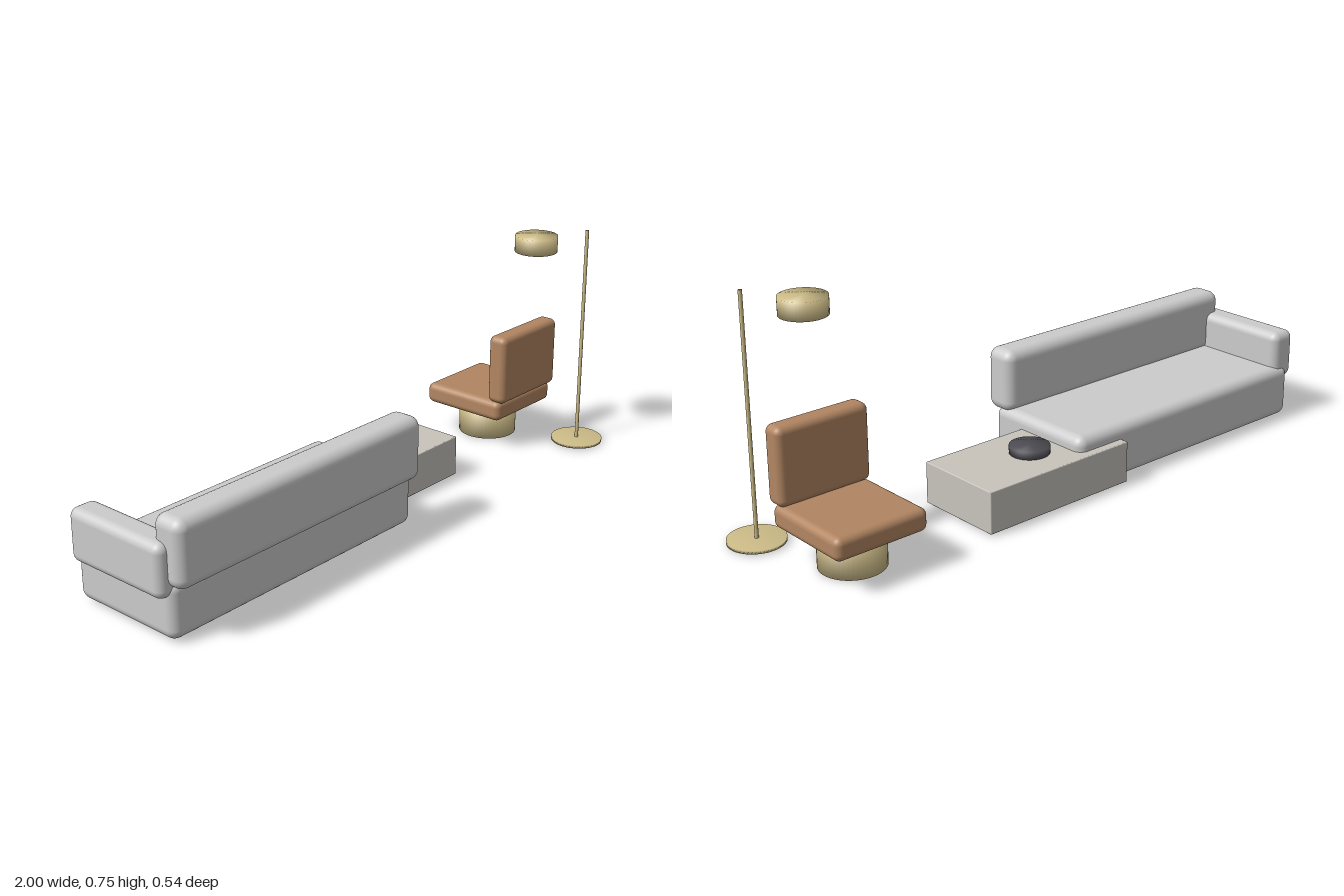
import * as THREE from 'three';
import { mergeVertices } from 'three/addons/utils/BufferGeometryUtils.js';
import { RoundedBoxGeometry } from 'three/addons/geometries/RoundedBoxGeometry.js';

const mat = (color) => new THREE.MeshStandardMaterial({ color });

// Rounded block given by its extents on each axis
function block(name, material, [x0, x1], [y0, y1], [z0, z1], radius) {
  const geo = new RoundedBoxGeometry(x1 - x0, y1 - y0, z1 - z0, 4, radius);
  const mesh = new THREE.Mesh(geo, material);
  mesh.position.set((x0 + x1) / 2, (y0 + y1) / 2, (z0 + z1) / 2);
  mesh.name = name;
  return mesh;
}

// Upright closed cylinder whose normals blend softly over the rims
function drum(name, material, x, z, radius, y0, y1) {
  let geo = new THREE.CylinderGeometry(radius, radius, y1 - y0, 48);
  geo.deleteAttribute('normal');
  geo.deleteAttribute('uv');
  geo = mergeVertices(geo, 1e-5);
  geo.computeVertexNormals();
  const mesh = new THREE.Mesh(geo, material);
  mesh.position.set(x, (y0 + y1) / 2, z);
  mesh.name = name;
  return mesh;
}

function group(name, ...parts) {
  const g = new THREE.Group();
  g.name = name;
  g.add(...parts);
  return g;
}

export function createModel() {
  const fabric = mat(0xcccccc);
  const stone = mat(0xc8c4bc);
  const leather = mat(0xb28662);
  const brass = mat(0xcdbc88);
  const dark = mat(0x4c4c52);

  // Sofa with its back to the front and a single arm
  const sofa = group('sofa',
    block('sofaBase', fabric, [-0.97, 0.015], [0.008, 0.185], [-0.215, 0.18], 0.032),
    block('sofaBack', fabric, [-0.97, 0.015], [0.168, 0.374], [0.108, 0.218], 0.034),
    block('sofaArm', fabric, [-1, -0.905], [0.138, 0.303], [-0.204, 0.168], 0.028));

  // Low block table running into the sofa, with a round tray
  const table = group('sideTable',
    block('tableBlock', stone, [-0.16, 0.395], [0.006, 0.14], [-0.244, 0.053], 0.003),
    drum('tray', dark, 0.117, -0.1, 0.063, 0.138, 0.165));

  // Lounge chair on a drum pedestal
  const chair = group('chair',
    block('chairSeat', leather, [0.637, 0.944], [0.109, 0.179], [-0.269, 0.041], 0.022),
    block('chairBack', leather, [0.637, 0.944], [0.176, 0.413], [-0.01, 0.06], 0.022),
    drum('chairPedestal', brass, 0.79, -0.115, 0.099, 0.002, 0.097));

  // Floor lamp with a shade set apart from the pole
  const lamp = group('floorLamp',
    drum('lampBase', brass, 0.911, 0.183, 0.087, 0.004, 0.014),
    drum('lampPole', brass, 0.911, 0.183, 0.006, 0, 0.755),
    drum('lampShade', brass, 0.79, 0.064, 0.071, 0.688, 0.742));

  return group('loungeSet', sofa, table, chair, lamp);
}
